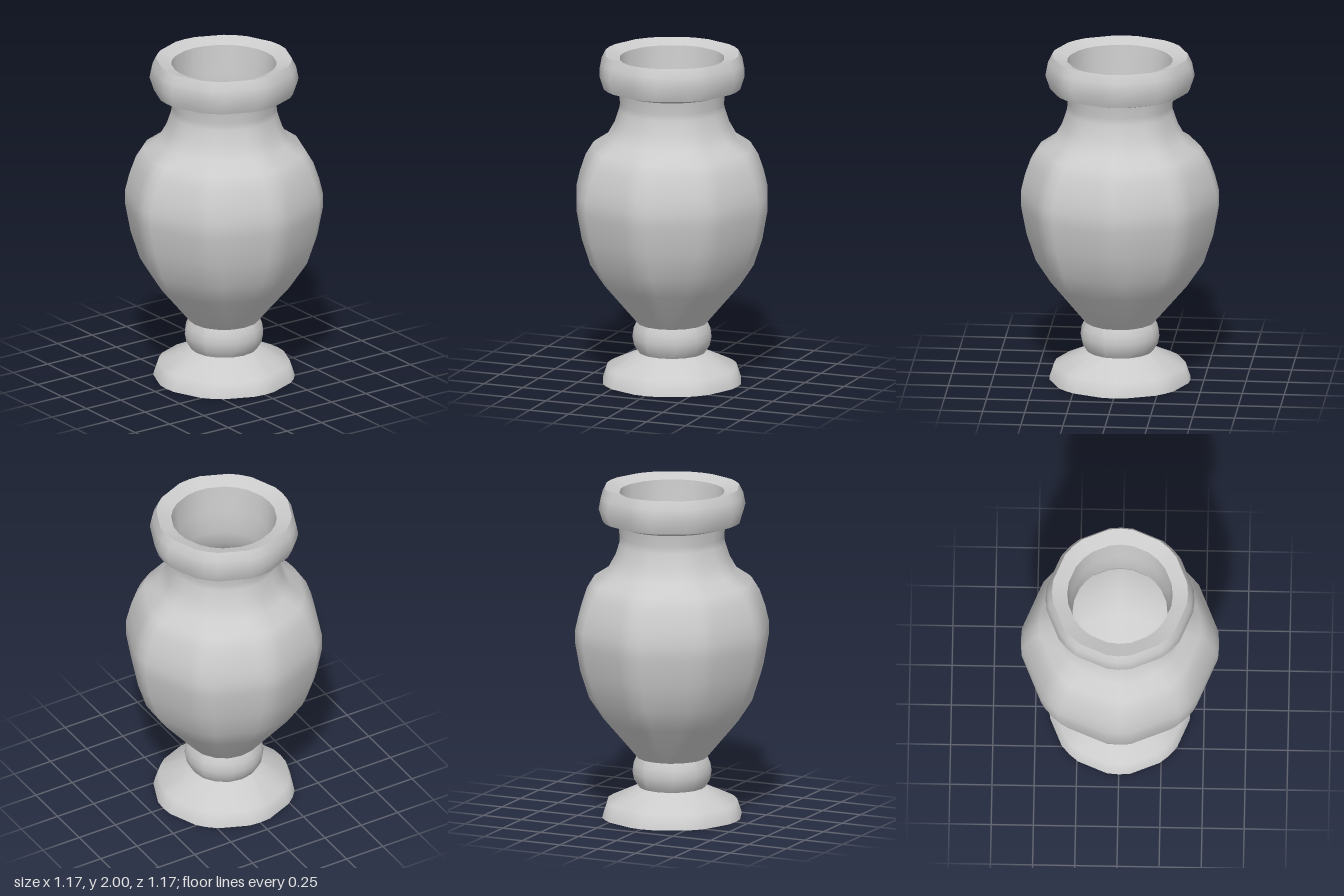
import * as THREE from 'three';

const material = new THREE.MeshStandardMaterial({ color: 0xcccccc, side: THREE.DoubleSide });
const SIDES = 8;        // softened octagon in plan
const CORNER = 0.07;    // half width of each rounded corner

// Sweeps a [radius, height] profile around y; every octagon corner becomes three points.
function turned(name, profile) {
  const around = SIDES * 3;
  const positions = [];
  const index = [];
  profile.forEach(([r, y], row) => {
    const spread = Math.min(Math.asin(Math.min(1, CORNER / r)), Math.PI / SIDES * 0.9);
    for (let i = 0; i < around; i++) {
      const a = Math.floor(i / 3) * 2 * Math.PI / SIDES + (i % 3 - 1) * spread;
      positions.push(r * Math.sin(a), y, r * Math.cos(a));
      if (row === 0) continue;
      const next = (i + 1) % around;
      const low = (row - 1) * around, high = row * around;
      index.push(low + i, low + next, high + next, low + i, high + next, high + i);
    }
  });
  const geometry = new THREE.BufferGeometry();
  geometry.setAttribute('position', new THREE.Float32BufferAttribute(positions, 3));
  geometry.setIndex(index);
  geometry.computeVertexNormals();
  const mesh = new THREE.Mesh(geometry, material);
  mesh.name = name;
  return mesh;
}

export function createModel() {
  const urn = new THREE.Group();
  urn.name = 'urn';

  // Hollow flared foot and the rounded collar above it
  urn.add(turned('foot', [[0.42, 0], [0.39, 0.09], [0.2, 0.18]]));
  urn.add(turned('collar', [[0.2, 0.18], [0.225, 0.22], [0.235, 0.27], [0.228, 0.32], [0.21, 0.36]]));

  // Belly, shoulder and neck
  urn.add(turned('body', [
    [0.21, 0.36], [0.41, 0.6], [0.5, 0.735], [0.555, 0.9], [0.587, 1.07], [0.587, 1.16],
    [0.565, 1.25], [0.53, 1.35], [0.48, 1.43], [0.39, 1.49], [0.345, 1.57], [0.315, 1.66],
    [0.312, 1.7], [0.32, 1.77],
  ]));

  // Rim: separate bands keep its edges crisp
  const rim = new THREE.Group();
  rim.name = 'rim';
  rim.add(turned('rimUnderside', [[0.32, 1.77], [0.415, 1.8]]));
  rim.add(turned('rimBand', [[0.415, 1.8], [0.442, 1.88], [0.428, 1.95], [0.403, 2]]));
  rim.add(turned('rimTop', [[0.403, 2], [0.313, 1.97]]));
  urn.add(rim);

  // Inside of the neck and the bowl
  urn.add(turned('interior', [
    [0.313, 1.97], [0.297, 1.8], [0.282, 1.66], [0.31, 1.56], [0.36, 1.46], [0.45, 1.39],
    [0.53, 1.24], [0.55, 1.1], [0.52, 0.9], [0.46, 0.74], [0.37, 0.62], [0.22, 0.52], [0.001, 0.48],
  ]));
  return urn;
}
